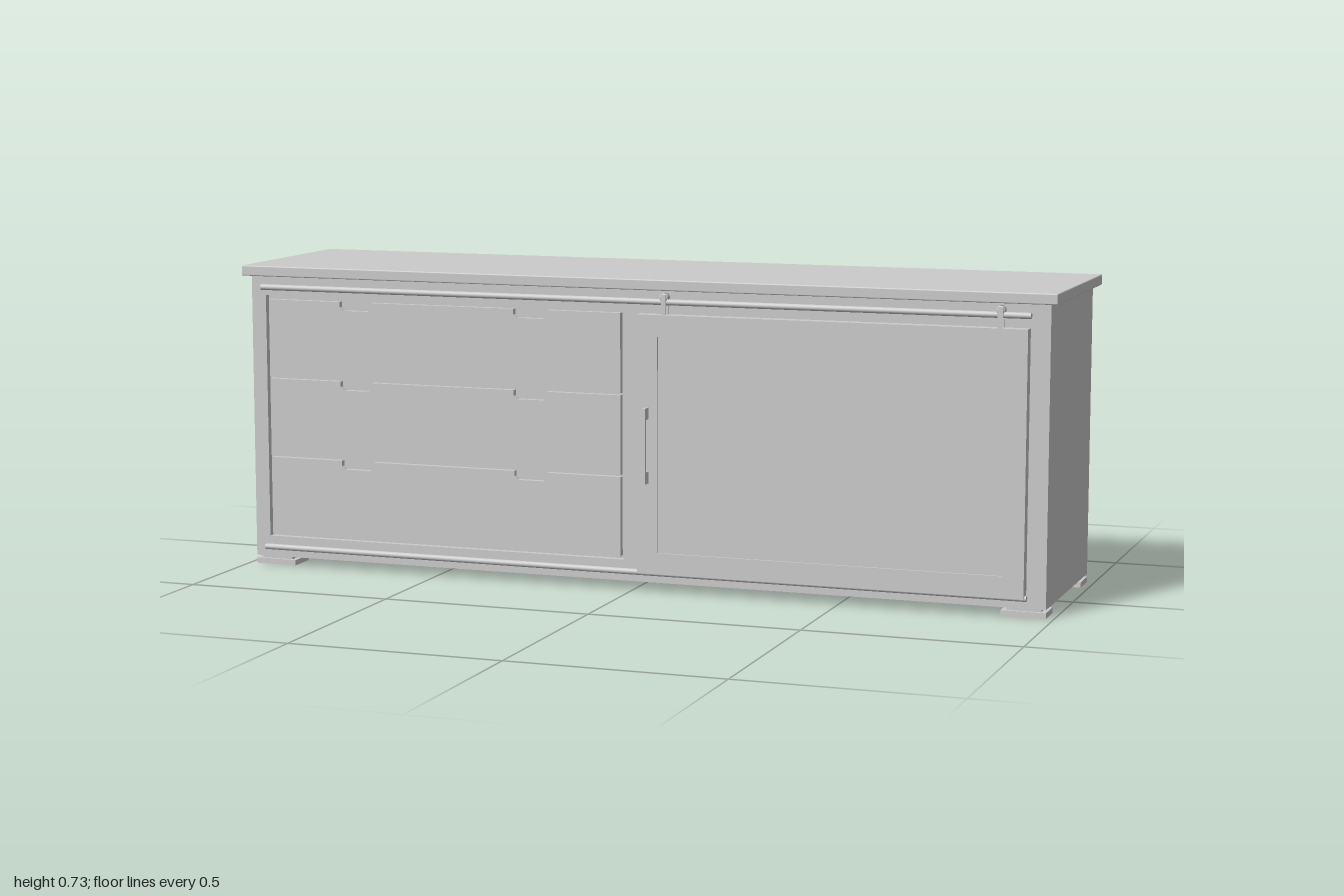
import * as THREE from 'three';
import { RoundedBoxGeometry } from 'three/addons/geometries/RoundedBoxGeometry.js';

const material = new THREE.MeshStandardMaterial({ color: 0xcccccc });

export function createModel() {
  const model = new THREE.Group();
  model.name = 'sideboard';

  const add = (name, geometry, x = 0, y = 0, z = 0) => {
    const mesh = new THREE.Mesh(geometry, material);
    mesh.name = name;
    mesh.position.set(x, y, z);
    model.add(mesh);
    return mesh;
  };
  // Box given by its limits on each axis
  const box = (name, x0, x1, y0, y1, z0, z1) =>
    add(name, new THREE.BoxGeometry(x1 - x0, y1 - y0, z1 - z0), (x0 + x1) / 2, (y0 + y1) / 2, (z0 + z1) / 2);
  const rect = (x0, x1, y0, y1) =>
    [[x0, y0], [x1, y0], [x1, y1], [x0, y1]].map(p => new THREE.Vector2(...p));
  // Flat board in the xy plane with optional holes, between z0 and z1
  const board = (name, points, z0, z1, holes = []) => {
    const shape = new THREE.Shape(points);
    holes.forEach(h => shape.holes.push(new THREE.Path(h)));
    return add(name, new THREE.ExtrudeGeometry(shape, { depth: z1 - z0, bevelEnabled: false }), 0, 0, z0);
  };

  // Carcass, front frame with the drawer opening, and worktop
  box('carcass', -0.982, 0.982, 0.02, 0.707, -0.24, 0.19);
  board('frontFrame', rect(-0.982, 0.982, 0.02, 0.707), 0.19, 0.205, [rect(-0.945, -0.022, 0.07, 0.66)]);
  add('worktop', new RoundedBoxGeometry(2, 0.025, 0.481, 2, 0.003), 0, 0.7195, -0.0175);

  // Stepped feet at the corners
  for (const x of [-0.93, 0.93]) {
    for (const z of [-0.205, 0.17]) {
      box('footPad', x - 0.052, x + 0.052, 0, 0.013, z - 0.035, z + 0.035);
      box('footNeck', x - 0.04, x + 0.04, 0.013, 0.02, z - 0.027, z + 0.027);
    }
  }

  // Drawer fronts with two finger notches cut into each top edge
  for (let i = 0; i < 3; i++) {
    const y0 = 0.077 + i * 0.1925, y1 = y0 + 0.188;
    const points = [new THREE.Vector2(-0.938, y0), new THREE.Vector2(-0.032, y0), new THREE.Vector2(-0.032, y1)];
    for (const x of [-0.258, -0.708]) {
      for (const [dx, dy] of [[0.042, 0], [0.042, 0.013], [0.033, 0.021], [-0.033, 0.021], [-0.042, 0.013], [-0.042, 0]]) {
        points.push(new THREE.Vector2(x + dx, y1 - dy));
      }
    }
    points.push(new THREE.Vector2(-0.938, y1));
    board('drawerFront', points, 0.19, 0.204);
  }

  // Sliding door with a shallow recessed panel
  const inner = [0.07, 0.887, 0.096, 0.602];
  board('doorFrame', rect(0.02, 0.937, 0.046, 0.652), 0.207, 0.234, [rect(...inner)]);
  box('doorPanel', ...inner, 0.207, 0.229);

  // Bracket handle, drawn in side profile and extruded along x
  const profile = new THREE.Shape([
    [0.234, 0.26], [0.26, 0.26], [0.26, 0.437], [0.234, 0.437],
    [0.234, 0.41], [0.252, 0.41], [0.252, 0.288], [0.234, 0.288],
  ].map(p => new THREE.Vector2(-p[0], p[1])));
  const handle = new THREE.ExtrudeGeometry(profile, { depth: 0.008, bevelEnabled: false });
  handle.rotateY(Math.PI / 2);
  add('doorHandle', handle, 0.041, 0, 0);

  // Upper and lower rails
  for (const y of [0.681, 0.046]) {
    const rail = new THREE.CylinderGeometry(0.007, 0.007, 1.89, 20).rotateZ(Math.PI / 2);
    add('rail', rail, -0.004, y, 0.22);
  }

  // Hangers: a pair of straps holding a grooved wheel over the rail
  const spool = [[0, -0.008], [0.01, -0.008], [0.007, -0.003], [0.007, 0.003], [0.01, 0.008], [0, 0.008]]
    .map(p => new THREE.Vector2(...p));
  for (const x of [0.083, 0.873]) {
    box('hangerStrap', x - 0.006, x + 0.006, 0.64, 0.699, 0.2105, 0.2125);
    box('hangerStrap', x - 0.006, x + 0.006, 0.64, 0.699, 0.2275, 0.2295);
    add('hangerWheel', new THREE.LatheGeometry(spool, 20).rotateX(Math.PI / 2), x, 0.692, 0.22);
  }

  return model;
}
